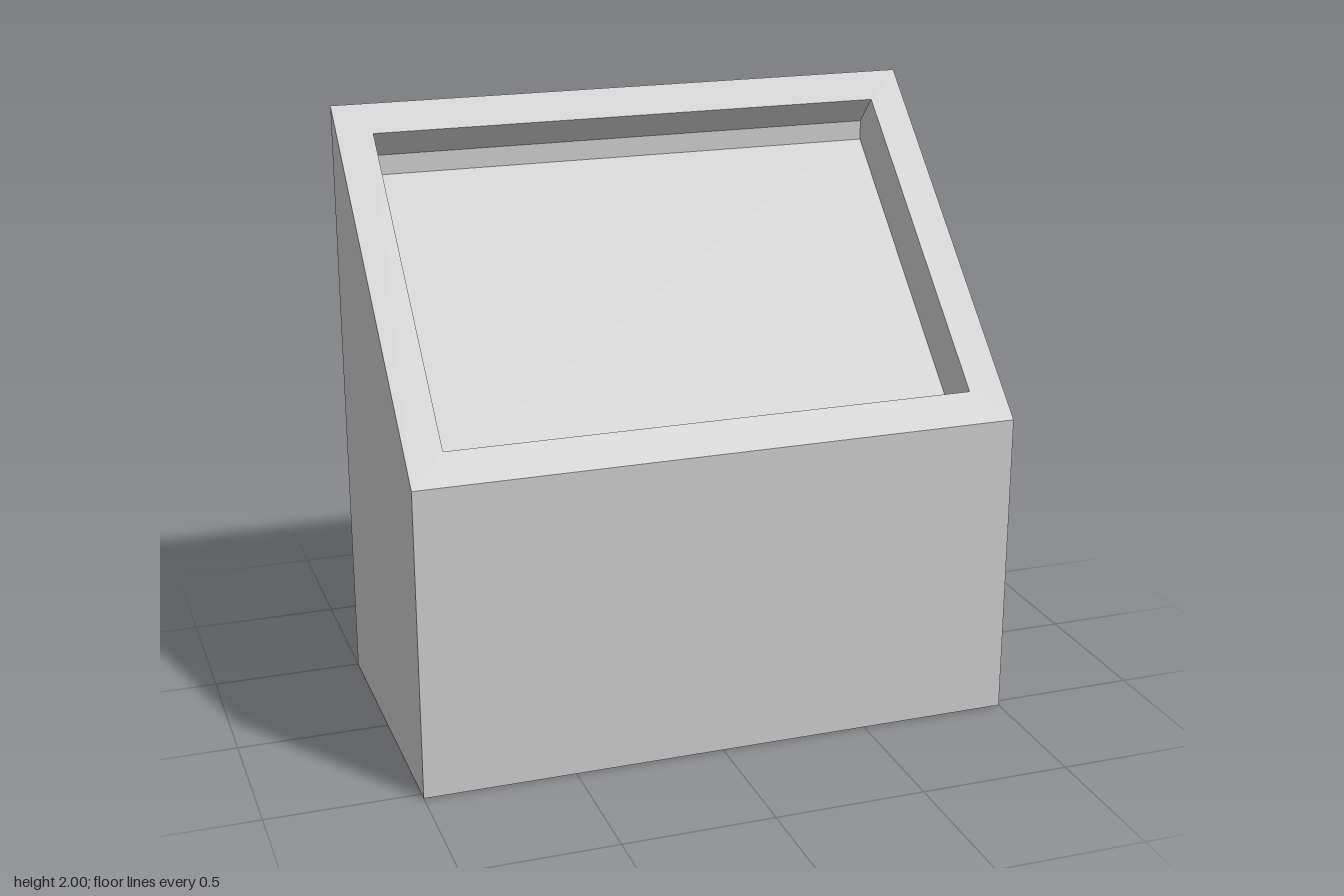
import * as THREE from 'three';

const W = 2, FRONT = 0.53, BACK = -0.495, LOW = 1.03, HIGH = 2;
const BORDER = 0.12, RECESS = 0.175;

export function createModel() {
  const model = new THREE.Group();
  model.name = 'slopedCabinet';
  const material = new THREE.MeshStandardMaterial({ color: 0xcccccc, side: THREE.DoubleSide });

  const add = (parent, name, geometry, position, rotation = [0, 0, 0]) => {
    const mesh = new THREE.Mesh(geometry, material);
    mesh.name = name;
    mesh.position.set(...position);
    mesh.rotation.set(...rotation);
    parent.add(mesh);
  };
  const polygon = (points) => new THREE.Shape(points.map(([x, y]) => new THREE.Vector2(x, y)));
  const rect = (w, h) => [[-w / 2, -h / 2], [w / 2, -h / 2], [w / 2, h / 2], [-w / 2, h / 2]];
  const plane = (w, h) => new THREE.PlaneGeometry(w, h);

  // Upright panels and base
  const depth = FRONT - BACK, midZ = (FRONT + BACK) / 2, quarter = Math.PI / 2;
  add(model, 'frontPanel', plane(W, LOW), [0, LOW / 2, FRONT]);
  add(model, 'backPanel', plane(W, HIGH), [0, HIGH / 2, BACK], [0, Math.PI, 0]);
  add(model, 'basePanel', plane(W, depth), [0, 0, midZ], [quarter, 0, 0]);

  // Sloped side panels, mirrored
  for (const side of [1, -1]) {
    const outline = [[FRONT, 0], [FRONT, LOW], [BACK, HIGH], [BACK, 0]].map(([z, y]) => [-side * z, y]);
    add(model, side > 0 ? 'leftPanel' : 'rightPanel',
      new THREE.ShapeGeometry(polygon(outline)), [side * W / 2, 0, 0], [0, side * quarter, 0]);
  }

  // Tilted face: local y runs up the slope, local z points outward
  const face = new THREE.Group();
  face.name = 'tiltedFace';
  face.position.set(0, (LOW + HIGH) / 2, midZ);
  face.rotation.x = -Math.atan2(depth, HIGH - LOW);
  model.add(face);

  const length = Math.hypot(depth, HIGH - LOW);
  const w = W - 2 * BORDER, h = length - 2 * BORDER;
  const frame = polygon(rect(W, length));
  frame.holes.push(polygon(rect(w, h)));
  add(face, 'faceFrame', new THREE.ShapeGeometry(frame), [0, 0, 0]);

  // Recessed tray; its upper rear corner pokes through the back panel as a ridge
  add(face, 'recessFloor', plane(w, h), [0, 0, -RECESS]);
  for (const s of [1, -1]) {
    add(face, s > 0 ? 'recessUpperWall' : 'recessLowerWall',
      plane(w, RECESS), [0, s * h / 2, -RECESS / 2], [s * quarter, 0, 0]);
    add(face, s > 0 ? 'recessLeftWall' : 'recessRightWall',
      plane(RECESS, h), [s * w / 2, 0, -RECESS / 2], [0, -s * quarter, 0]);
  }
  return model;
}
